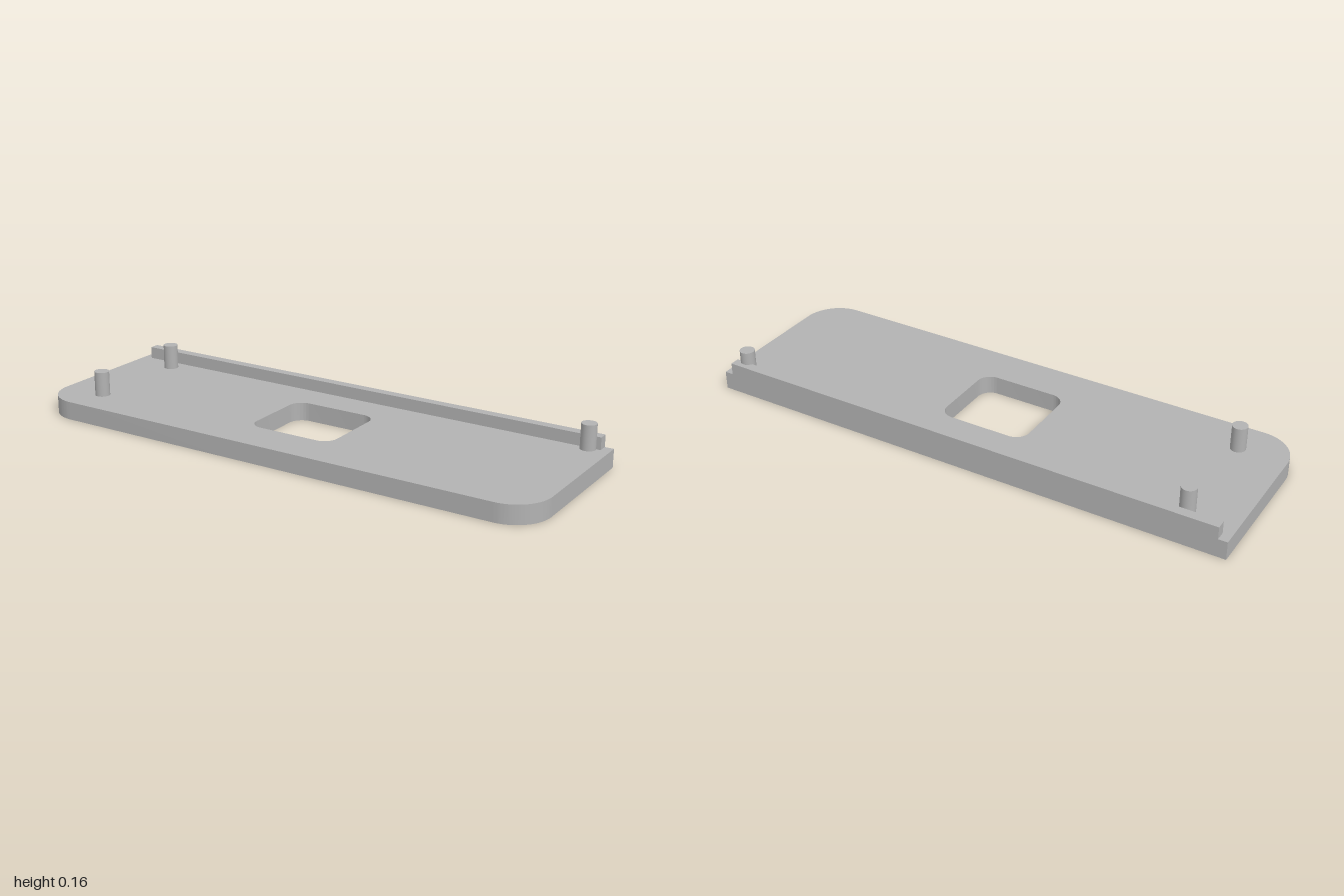
import * as THREE from 'three';
import { toCreasedNormals } from 'three/addons/utils/BufferGeometryUtils.js';

const HALF_DEPTH = 0.318;
const PLATE_TOP = 0.068;

// Rounded rectangle; rFront rounds the low-y corners, rBack the high-y ones
function roundedRect(path, x0, y0, x1, y1, rFront, rBack) {
  path.moveTo(x0 + rFront, y0);
  path.lineTo(x1 - rFront, y0);
  if (rFront) path.absarc(x1 - rFront, y0 + rFront, rFront, -Math.PI / 2, 0);
  path.lineTo(x1, y1 - rBack);
  if (rBack) path.absarc(x1 - rBack, y1 - rBack, rBack, 0, Math.PI / 2);
  path.lineTo(x0 + rBack, y1);
  if (rBack) path.absarc(x0 + rBack, y1 - rBack, rBack, Math.PI / 2, Math.PI);
  path.lineTo(x0, y0 + rFront);
  if (rFront) path.absarc(x0 + rFront, y0 + rFront, rFront, Math.PI, Math.PI * 1.5);
  return path;
}

export function createModel() {
  const group = new THREE.Group();
  const grey = new THREE.MeshStandardMaterial({ color: 0xb2b2b2 });
  grey.name = 'grey';

  const add = (name, geometry, x = 0, y = 0, z = 0) => {
    const mesh = new THREE.Mesh(geometry, grey);
    mesh.name = name;
    mesh.position.set(x, y, z);
    group.add(mesh);
  };

  // Base plate: rounded front corners, square back, rounded window (shape y = -z)
  const outline = roundedRect(new THREE.Shape(), -1, -HALF_DEPTH, 1, HALF_DEPTH, 0.136, 0);
  outline.holes.push(roundedRect(new THREE.Path(), -0.168, -0.16, 0.168, 0.152, 0.052, 0.052));
  const plate = new THREE.ExtrudeGeometry(outline, {
    depth: PLATE_TOP, bevelEnabled: false, curveSegments: 16,
  });
  plate.rotateX(-Math.PI / 2);
  add('basePlate', toCreasedNormals(plate, 0.5));

  // Low lip along the back edge
  const lipHeight = 0.045, lipDepth = 0.036;
  add('backLip', new THREE.BoxGeometry(1.934, lipHeight, lipDepth),
    0, PLATE_TOP + lipHeight / 2, -HALF_DEPTH + lipDepth / 2);

  // Locating pegs
  const pegHeight = 0.092;
  const pegs = [
    ['frontRightPeg', -0.822, 0.183],
    ['backRightPeg', -0.822, -0.227],
    ['backLeftPeg', 0.925, -0.272],
  ];
  for (const [name, x, z] of pegs) {
    add(name, new THREE.CylinderGeometry(0.0275, 0.0275, pegHeight, 32),
      x, PLATE_TOP + pegHeight / 2, z);
  }

  return group;
}
